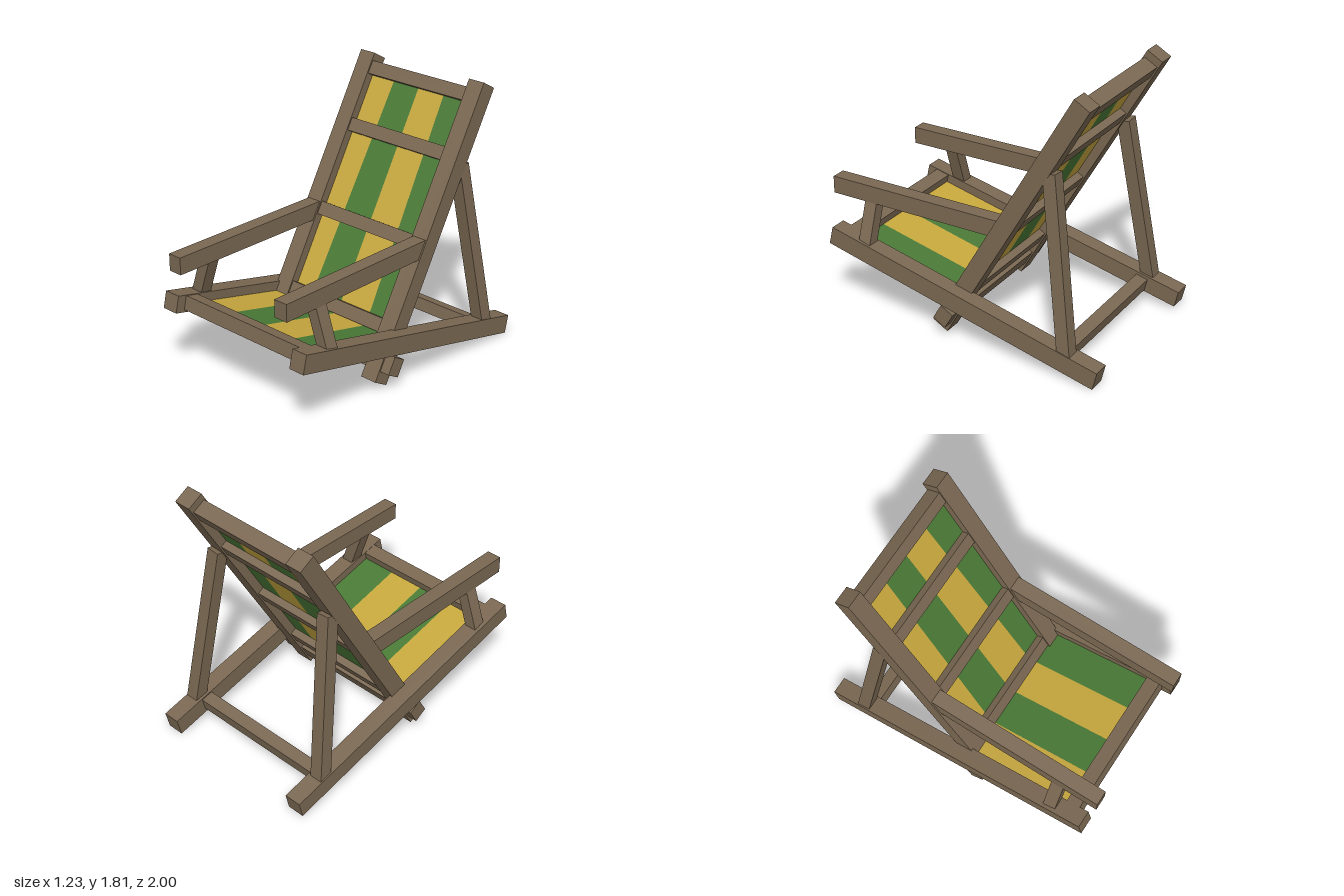
import * as THREE from 'three';

const V = (x, y, z) => new THREE.Vector3(x, y, z);

export function createModel() {
  const model = new THREE.Group();
  model.name = 'deckChair';

  const material = (name, color) => {
    const m = new THREE.MeshStandardMaterial({ color });
    m.name = name;
    return m;
  };
  const wood = material('wood', 0x7a6852);
  const yellow = material('yellowCloth', 0xc8a83e);
  const green = material('greenCloth', 0x4a7a36);
  yellow.side = green.side = THREE.DoubleSide;

  // square-cut timber running from a to b
  function beam(name, a, b, width, depth) {
    const dir = b.clone().sub(a);
    const length = dir.length();
    dir.normalize();
    const side = V(1, 0, 0).addScaledVector(dir, -dir.x).normalize();
    const face = new THREE.Vector3().crossVectors(side, dir);
    const mesh = new THREE.Mesh(new THREE.BoxGeometry(width, length, depth), wood);
    mesh.quaternion.setFromRotationMatrix(new THREE.Matrix4().makeBasis(side, dir, face));
    mesh.position.copy(a).add(b).multiplyScalar(0.5);
    mesh.name = name;
    model.add(mesh);
  }

  // horizontal bar across the chair, tilted about x
  function crossbar(name, y, z, halfLength, height, depth, tilt) {
    const mesh = new THREE.Mesh(new THREE.BoxGeometry(halfLength * 2, height, depth), wood);
    mesh.position.set(0, y, z);
    mesh.rotation.x = tilt;
    mesh.name = name;
    model.add(mesh);
  }

  // striped cloth between a lower and an upper edge, each given as [halfWidth, y, z]
  function cloth(name, low, high) {
    const group = new THREE.Group();
    group.name = name;
    const corner = ([half, y, z], i) => [half * (i / 2 - 1), y, z];
    for (let i = 0; i < 4; i++) {
      const g = new THREE.BufferGeometry();
      const points = [corner(low, i), corner(low, i + 1), corner(high, i + 1), corner(high, i)];
      g.setAttribute('position', new THREE.Float32BufferAttribute(points.flat(), 3));
      g.setIndex([0, 1, 2, 0, 2, 3]);
      g.computeVertexNormals();
      const stripe = new THREE.Mesh(g, i % 2 ? green : yellow);
      stripe.name = 'stripe' + (i + 1);
      group.add(stripe);
    }
    model.add(group);
  }

  // backrest axis: a point at distance s up from the foot of the posts
  const foot = V(0, 0.05, 0.19), head = V(0, 1.782, -0.802);
  const up = head.clone().sub(foot).normalize();
  const lean = Math.atan2(up.z, up.y);
  const onBack = (s) => foot.clone().addScaledVector(up, s);

  // base rails, one marginally heavier than the other
  beam('leftBaseRail', V(0.558, 0.066, -0.98), V(0.558, 0.531, 0.962), 0.115, 0.125);
  beam('rightBaseRail', V(-0.56, 0.085, -0.985), V(-0.56, 0.537, 0.962), 0.118, 0.115);

  for (const [side, s] of [['left', 1], ['right', -1]]) {
    // leaning posts
    beam(side + 'BackPost', V(s * 0.46, foot.y, foot.z), V(s * 0.46, head.y, head.z), 0.12, 0.12);
    // armrests and their splayed supports
    beam(side + 'Armrest', V(s * 0.46, 0.843, -0.27), V(s * 0.46, 0.843, 1), 0.1, 0.116);
    beam(side + 'ArmSupport', V(s * 0.565, 0.5, 0.712), V(s * 0.462, 0.8, 0.712), 0.08, 0.087);
    // rear props
    beam(side + 'RearProp', V(s * 0.57, 0.13, -0.765), V(s * 0.47, 1.3, -0.588), 0.09, 0.088);
  }

  // backrest slats, the lowest one also carrying the seat cloth
  [0.345, 0.91, 1.5, 1.9].forEach((d, i) => {
    const p = onBack(d);
    crossbar('backSlat' + (i + 1), p.y, p.z, 0.41, 0.09, 0.1, lean);
  });

  // foot bar passing through both posts
  const f = onBack(0.135);
  crossbar('footBar', f.y, f.z, 0.59, 0.12, 0.1, lean);

  // bars joining the base rails
  crossbar('seatFrontBar', 0.518, 0.849, 0.51, 0.093, 0.098, -0.235);
  crossbar('rearBar', 0.14, -0.72, 0.51, 0.085, 0.085, -0.235);

  // cloth
  const low = onBack(0.345), high = onBack(1.9);
  cloth('backCloth', [0.5, low.y, low.z], [0.42, high.y, high.z]);
  cloth('seatCloth', [0.52, 0.51, 0.85], [0.51, 0.312, 0.025]);

  return model;
}
